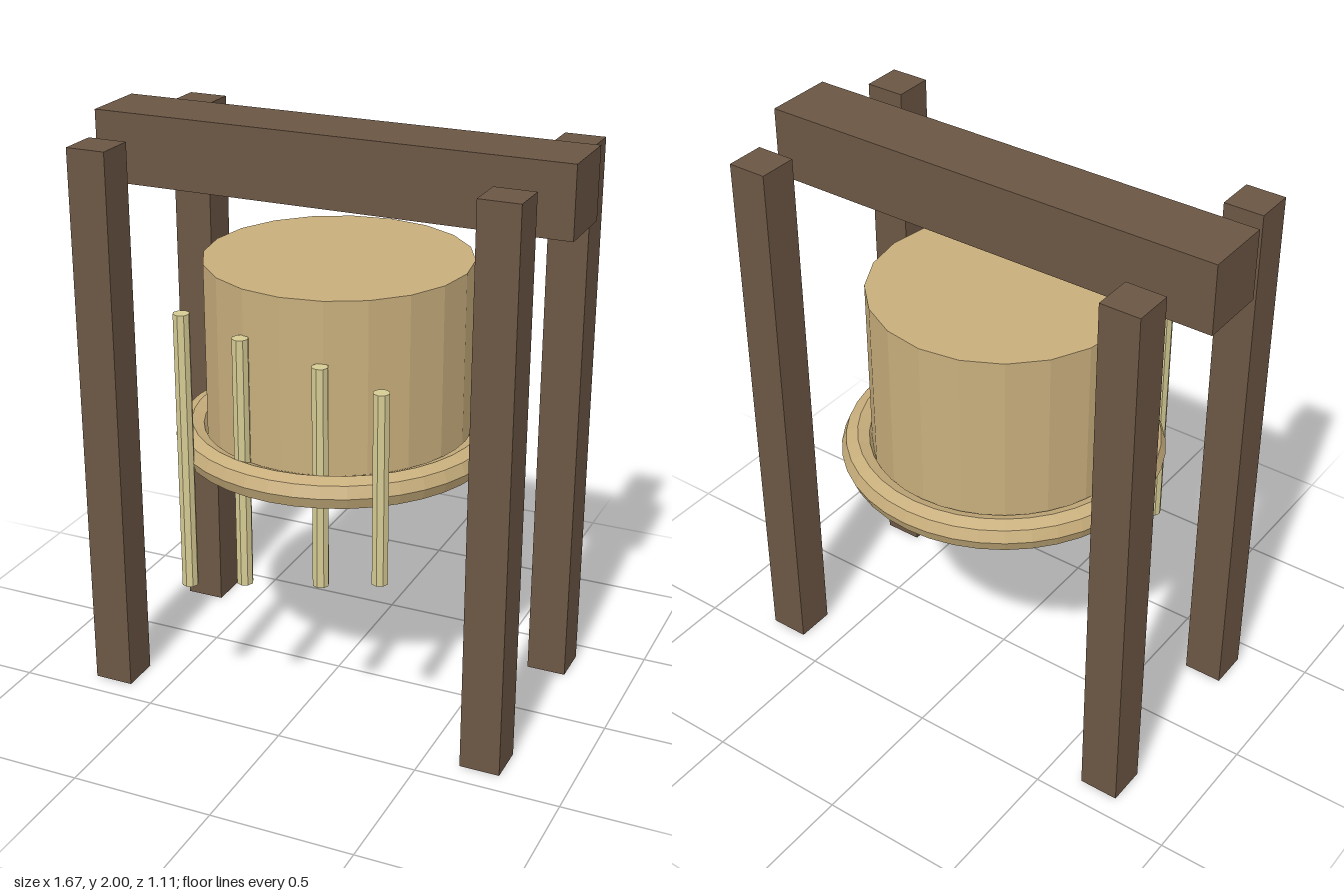
import * as THREE from 'three';

const material = (color) => {
  const m = new THREE.MeshStandardMaterial({ color });
  m.flatShading = true;
  return m;
};

export function createModel() {
  const model = new THREE.Group();
  const wood = material(0x6b5644);
  const bronze = material(0xc8ae7c);
  const paleBrass = material(0xd6cb94);

  const add = (name, geometry, mat, x, y, z) => {
    const mesh = new THREE.Mesh(geometry, mat);
    mesh.name = name;
    mesh.position.set(x, y, z);
    model.add(mesh);
    return mesh;
  };

  // Four square posts
  const postHeight = 1.948;
  const postGeometry = new THREE.BoxGeometry(0.139, postHeight, 0.139);
  for (const [side, sx] of [['left', 1], ['right', -1]]) {
    for (const [end, sz] of [['Front', 1], ['Back', -1]]) {
      add(`${side}${end}Post`, postGeometry, wood, sx * 0.696, postHeight / 2, sz * 0.348);
    }
  }

  // Cross beam between the post pairs
  add('crossBeam', new THREE.BoxGeometry(1.67, 0.243, 0.243), wood, 0, 1.878, 0);

  // Bell body with a thick rim around its lower edge
  add('bellBody', new THREE.CylinderGeometry(0.452, 0.452, 0.626, 20), bronze, 0, 1.252, 0);
  const rim = add('bellRim', new THREE.TorusGeometry(0.5, 0.056, 8, 40), bronze, 0, 0.939, 0);
  rim.rotation.x = Math.PI / 2;

  // Row of hanging rods, shorter towards the left
  [-0.348, -0.139, 0.139, 0.348].forEach((x, i) => {
    const length = 0.974 - i * 0.104;
    add(`chimeRod${i + 1}`, new THREE.CylinderGeometry(0.028, 0.028, length, 8), paleBrass, x, 0.974, 0.452);
  });

  return model;
}
